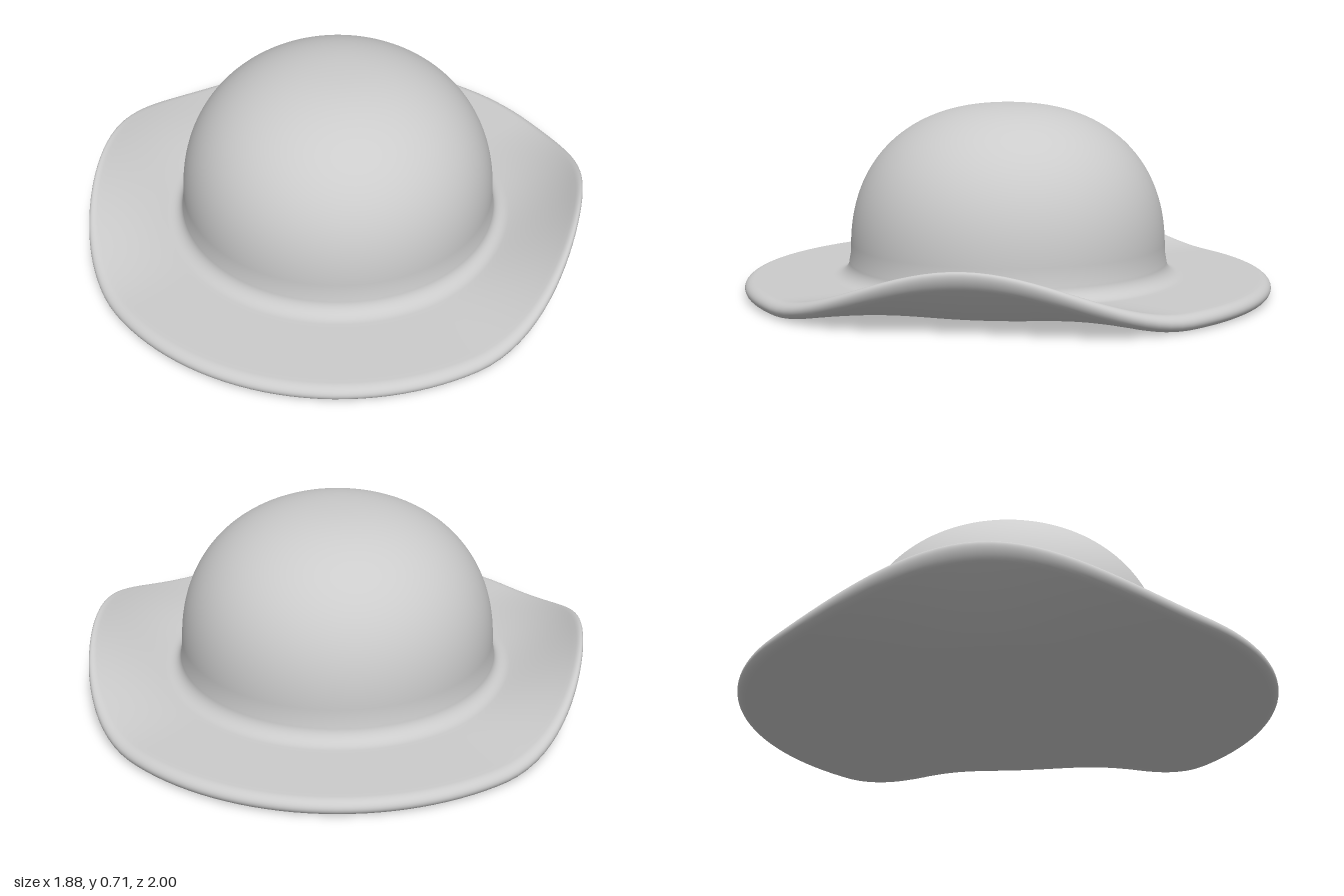
import * as THREE from 'three';
import { mergeVertices } from 'three/addons/utils/BufferGeometryUtils.js';

const R = 0.6;          // crown radius
const BRIM = 0.06;      // brim thickness

// Closed half-profile: underside, rounded rim, brim top, fillet, domed crown
function hatProfile() {
  const pts = [];
  const add = (x, y) => pts.push(new THREE.Vector2(x, y));
  add(0, 0);
  add(0.3, 0);
  for (let i = 0; i <= 16; i++) add(0.55 + (0.41 * i) / 16, 0);
  // rounded rim
  for (let i = 1; i < 14; i++) {
    const a = -Math.PI / 2 + (Math.PI * i) / 14;
    add(0.96 + 0.04 * Math.cos(a), BRIM / 2 + (BRIM / 2) * Math.sin(a));
  }
  for (let i = 0; i <= 14; i++) add(0.96 - (0.29 * i) / 14, BRIM);
  // fillet where brim meets crown
  for (let i = 1; i <= 10; i++) {
    const a = (Math.PI / 2) * (i / 10);
    add(0.67 - 0.064 * Math.sin(a), BRIM + 0.06 * (1 - Math.cos(a)));
  }
  // dome with a slightly flattened top
  const n = 2 / 2.3;
  for (let i = 0; i <= 40; i++) {
    const a = (Math.PI / 2) * (i / 40);
    const c = i === 40 ? 0 : Math.cos(a);
    add(R * Math.pow(c, n), 0.15 + 0.562 * Math.pow(Math.sin(a), n));
  }
  return pts;
}

// Curl the brim up at the left and right sides, pulling it in slightly
function curlBrim(geometry) {
  const p = geometry.attributes.position;
  for (let i = 0; i < p.count; i++) {
    const x = p.getX(i), y = p.getY(i), z = p.getZ(i);
    const r = Math.hypot(x, z);
    if (r <= R || y > 0.12) continue;
    const angle = Math.atan2(Math.abs(z), Math.abs(x));
    const side = Math.pow(Math.cos(Math.min(angle * 1.85, Math.PI / 2)), 2);
    const t = (r - R) / (1 - R);
    const pull = 1 - 0.06 * side * t * t;
    p.setXYZ(i, x * pull, y + 0.19 * side * Math.pow(t, 1.3), z * pull);
  }
}

export function createModel() {
  const group = new THREE.Group();
  group.name = 'bowlerHat';

  let geometry = new THREE.LatheGeometry(hatProfile(), 128);
  geometry.deleteAttribute('uv');
  geometry.deleteAttribute('normal');
  geometry = mergeVertices(geometry);
  curlBrim(geometry);
  geometry.computeVertexNormals();

  const hat = new THREE.Mesh(geometry, new THREE.MeshStandardMaterial({ color: 0xcccccc }));
  hat.name = 'crownAndBrim';
  group.add(hat);
  return group;
}
